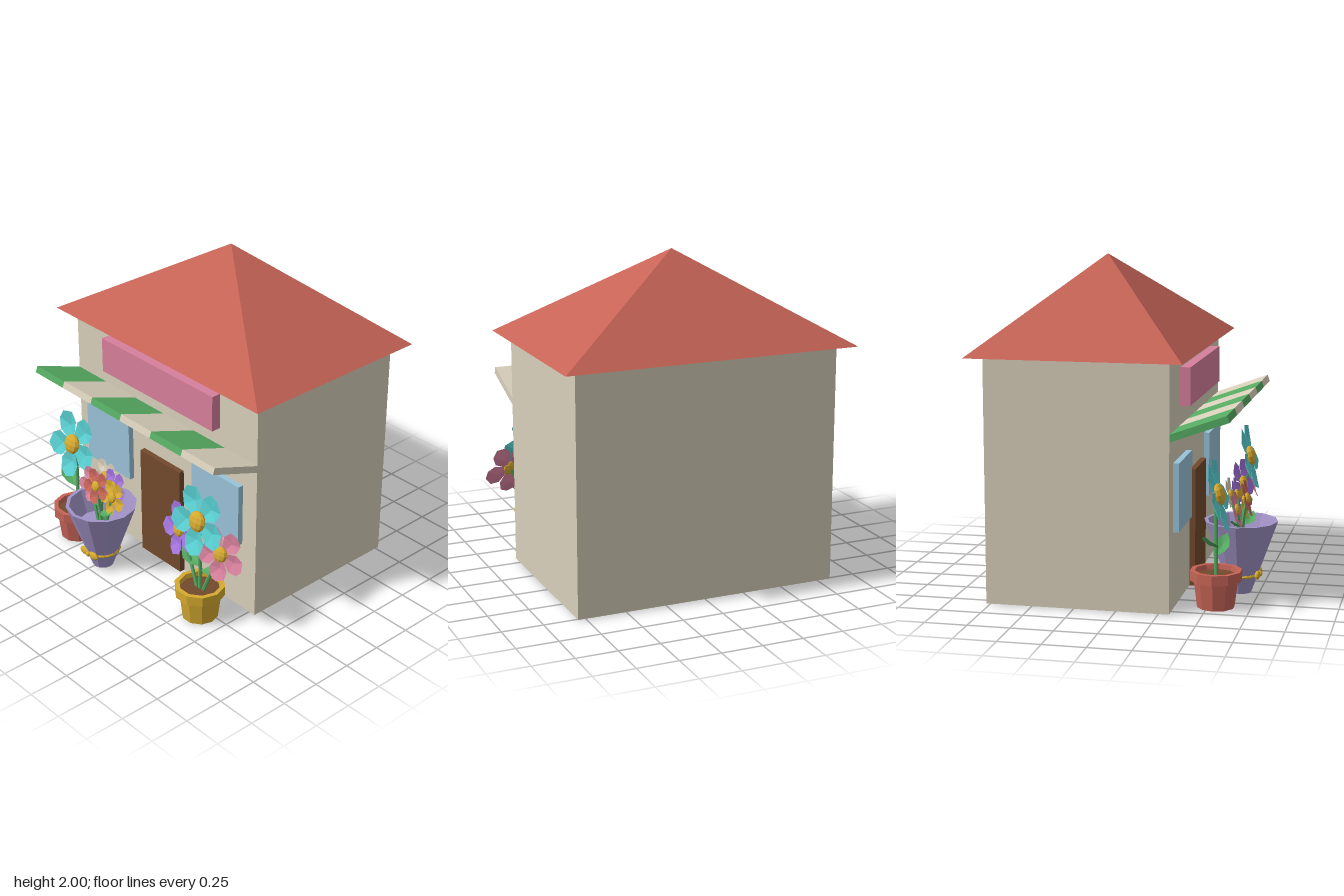
import * as THREE from 'three';

const mat = (name, color) => {
  const m = new THREE.MeshStandardMaterial({ color, flatShading: true, side: THREE.DoubleSide });
  m.name = name;
  return m;
};

export function createModel() {
  const cream = mat('cream', 0xd8cfba), red = mat('terracotta red', 0xc56356);
  const green = mat('green', 0x55aa62), pink = mat('pink', 0xd7809c);
  const blue = mat('window blue', 0x99c2d7), brown = mat('door brown', 0x734a2d);
  const gold = mat('gold', 0xd6aa30), lilac = mat('lilac', 0xa294c8);
  const aqua = mat('turquoise', 0x58cdcf), violet = mat('violet', 0xa273de);

  const root = new THREE.Group();
  root.name = 'flowerShop';
  const V = (x, y, z) => new THREE.Vector3(x, y, z);
  const add = (parent, name, geo, material, x = 0, y = 0, z = 0) => {
    const m = new THREE.Mesh(geo, material);
    m.name = name;
    m.position.set(x, y, z);
    parent.add(m);
    return m;
  };
  const group = (name, x = 0, y = 0, z = 0) => {
    const g = new THREE.Group();
    g.name = name;
    g.position.set(x, y, z);
    root.add(g);
    return g;
  };
  // Box given by its limits on each axis
  const block = (name, material, x0, x1, y0, y1, z0, z1) =>
    add(root, name, new THREE.BoxGeometry(x1 - x0, y1 - y0, z1 - z0), material,
      (x0 + x1) / 2, (y0 + y1) / 2, (z0 + z1) / 2);

  // House
  block('walls', cream, -0.83, 0.8, 0.01, 1.46, -0.77, 0.315);
  block('signBoard', pink, -0.515, 0.485, 1.165, 1.39, 0.3, 0.375);
  block('door', brown, -0.2, 0.165, 0.01, 0.73, 0.3, 0.35);
  block('leftWindow', blue, 0.275, 0.685, 0.465, 0.868, 0.3, 0.35);
  block('rightWindow', blue, -0.72, -0.31, 0.465, 0.868, 0.3, 0.35);

  // Pyramid roof
  const roofGeo = new THREE.ConeGeometry(Math.SQRT1_2, 1, 4, 1).rotateY(Math.PI / 4);
  add(root, 'roof', roofGeo, red, -0.017, 1.73, -0.228).scale.set(1.81, 0.54, 1.265);

  // Striped awning
  const awning = group('awning', -0.015, 1.085, 0.469);
  awning.rotation.x = -0.35;
  const stripe = 1.63 / 6;
  for (let i = 0; i < 6; i++) {
    add(awning, 'awningStripe', new THREE.BoxGeometry(stripe, 0.042, 0.38),
      i % 2 ? cream : green, (i - 2.5) * stripe);
  }

  // Folded blade of unit length along +y, used for petals and leaves
  const blade = (outline, fold) => {
    const pts = [[0, 0, 0], ...outline.map(([x, y]) => [x, y, 0]), [0, 1, -fold / 2],
      ...outline.slice().reverse().map(([x, y]) => [-x, y, 0])];
    const pos = [];
    pts.forEach((p, i) => pos.push(0, 0.55, fold, ...p, ...pts[(i + 1) % pts.length]));
    const g = new THREE.BufferGeometry();
    g.setAttribute('position', new THREE.Float32BufferAttribute(pos, 3));
    g.computeVertexNormals();
    return g;
  };
  const petalGeo = blade([[0.12, 0.15], [0.36, 0.55], [0.29, 0.87]], -0.1);
  const leafGeo = blade([[0.17, 0.25], [0.24, 0.55], [0.13, 0.82]], -0.08);

  // Five petals and a domed centre, facing forward and a little upward
  const flower = (parent, material, r, x, y, z, tilt = 0.26, yaw = 0) => {
    const f = new THREE.Group();
    f.name = 'flower';
    f.position.set(x, y, z);
    f.rotation.set(-tilt, yaw, 0, 'YXZ');
    parent.add(f);
    for (let i = 0; i < 5; i++) {
      const p = add(f, 'petal', petalGeo, material);
      p.scale.setScalar(r);
      p.rotation.z = Math.PI + i * Math.PI * 0.4;
    }
    add(f, 'flowerCentre', new THREE.SphereGeometry(r * 0.29, 10, 6), gold, 0, 0, r * 0.03)
      .scale.z = 0.5;
  };
  const stem = (parent, a, b, c) => add(parent, 'stem',
    new THREE.TubeGeometry(new THREE.QuadraticBezierCurve3(a, b, c), 8, 0.012, 6), green);
  const leaf = (parent, from, to, up = V(0, 1, 0.25)) => {
    const dir = to.clone().sub(from), len = dir.length();
    dir.normalize();
    const side = dir.clone().cross(up).normalize();
    const l = add(parent, 'leaf', leafGeo, green);
    l.quaternion.setFromRotationMatrix(
      new THREE.Matrix4().makeBasis(side, dir, side.clone().cross(dir)));
    l.position.copy(from);
    l.scale.setScalar(len);
  };
  const lathe = (parent, name, pairs, sides, material) => add(parent, name,
    new THREE.LatheGeometry(pairs.map(([x, y]) => new THREE.Vector2(x, y)), sides, Math.PI / 2), material);

  // Rimmed pot with soil
  const pot = (name, x, material) => {
    const g = group(name, x, 0, 0.548);
    lathe(g, 'pot', [[0, 0.01], [0.11, 0.01], [0.13, 0.17], [0.153, 0.17], [0.153, 0.23],
      [0.125, 0.23], [0.12, 0.19]], 10, material);
    lathe(g, 'soil', [[0.123, 0.2], [0, 0.2]], 10, brown);
    return g;
  };

  // Red pot with one flower
  const redPot = pot('redPot', -0.607, red);
  stem(redPot, V(0, 0.19, 0), V(0.02, 0.45, -0.01), V(-0.005, 0.67, 0));
  leaf(redPot, V(0.005, 0.36, 0), V(-0.185, 0.46, -0.04));
  leaf(redPot, V(0.005, 0.31, 0), V(0.155, 0.41, 0.04));
  flower(redPot, aqua, 0.22, -0.005, 0.675, 0.01);

  // Gold pot with three flowers
  const goldPot = pot('goldPot', 0.571, gold);
  [[aqua, 0.22, 0, 0.675, 0.015], [violet, 0.17, -0.18, 0.53, 0], [pink, 0.17, 0.18, 0.53, 0]]
    .forEach(([m, r, x, y, z]) => {
      stem(goldPot, V(x * 0.15, 0.19, 0), V(x * 0.5, 0.36, -0.01), V(x, y, z - 0.005));
      flower(goldPot, m, r, x, y, z, 0.24, x);
    });
  leaf(goldPot, V(0, 0.35, 0), V(-0.21, 0.38, -0.05));
  leaf(goldPot, V(0.01, 0.33, 0), V(0.18, 0.41, -0.04));

  // Conical vase tied with a gold bow
  const vase = group('vase', -0.243, 0, 0.635);
  lathe(vase, 'vaseBody', [[0, 0.005], [0.065, 0.005], [0.222, 0.445], [0.2, 0.445],
    [0.15, 0.3], [0, 0.3]], 12, lilac);
  add(vase, 'ribbon', new THREE.TorusGeometry(0.104, 0.01, 6, 16).rotateX(Math.PI / 2), gold, 0, 0.117, 0);
  for (const s of [-1, 1]) {
    add(vase, 'bowLoop', new THREE.SphereGeometry(0.042, 10, 6), gold, s * 0.043, 0.122, 0.108)
      .scale.set(1, 0.62, 0.4);
  }
  add(vase, 'bowKnot', new THREE.SphereGeometry(0.017, 8, 6), gold, 0, 0.12, 0.115);

  // Bouquet
  [[red, 0, 0.58, 0.035], [cream, -0.03, 0.6, -0.06], [pink, -0.105, 0.53, -0.01],
    [violet, 0.075, 0.58, -0.04], [gold, 0.11, 0.535, 0]]
    .forEach(([m, x, y, z]) => {
      stem(vase, V(x * 0.3, 0.29, 0), V(x * 0.6, 0.4, 0), V(x, y, z));
      flower(vase, m, 0.115, x, y, z, 0.25);
    });
  leaf(vase, V(0.03, 0.41, 0.03), V(0.17, 0.46, 0.05));
  leaf(vase, V(-0.03, 0.41, 0), V(-0.17, 0.47, -0.03));

  return root;
}
